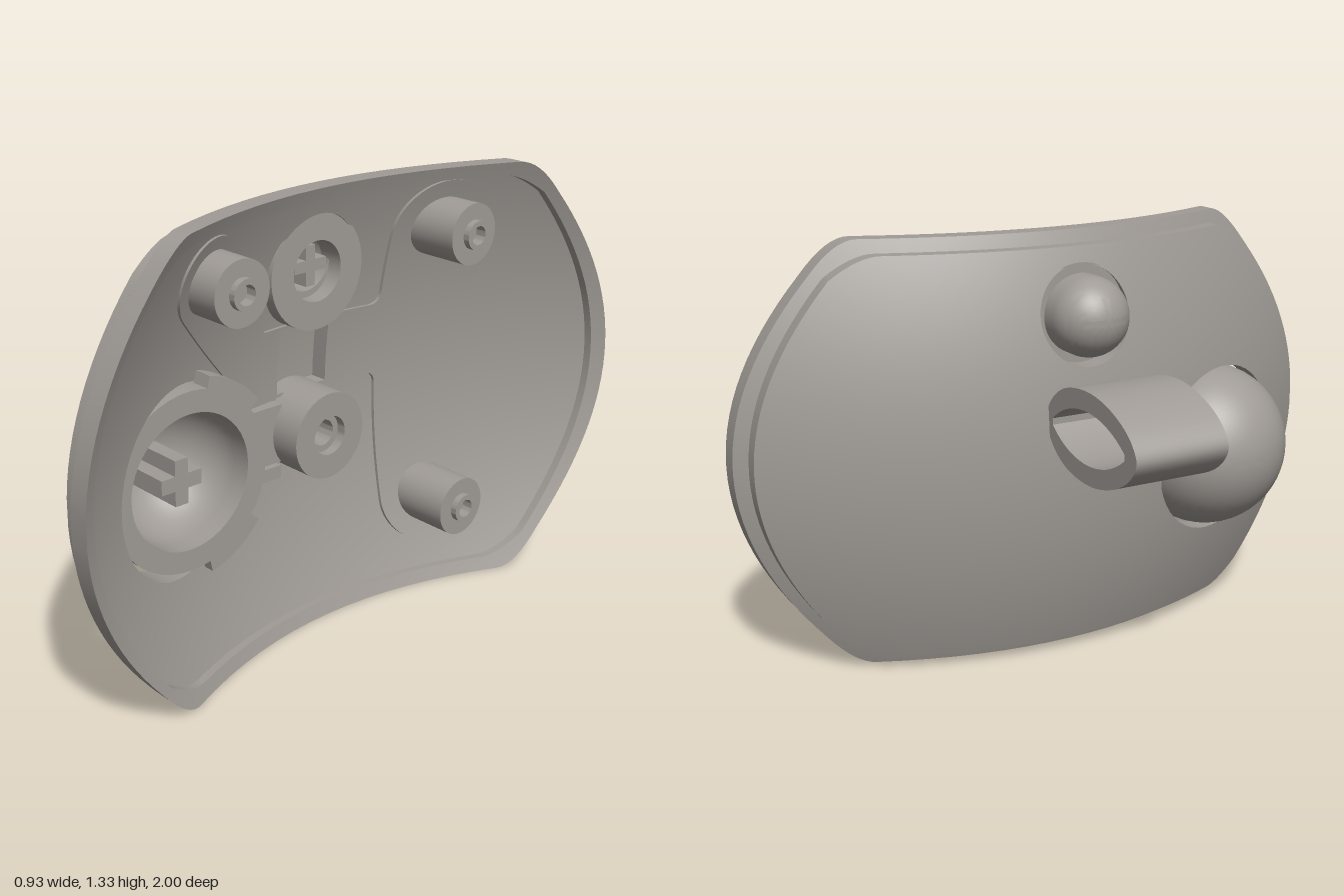
import * as THREE from 'three';
import { toCreasedNormals } from 'three/addons/utils/BufferGeometryUtils.js';

// Shapes are drawn in (u, v): u = -z, v = y. Depth runs along +x.
const MID = 0.665;
const curve = (u, v) => {
  const a = u * u, b = (v - MID) ** 2;
  return 0.02 + 0.332 * a + 0.277 * b + 0.1 * a * b;
};

// Rounded outline of the panel with bulging sides
function outline(inset) {
  const pts = [], h = MID - inset, side = (y) => 1 - 0.28 * (y / 0.6) ** 2 - inset;
  const corner = new THREE.QuadraticBezierCurve(
    new THREE.Vector2(side(0.56), 0.56), new THREE.Vector2(0.67 - inset, h), new THREE.Vector2(0.61 - inset, h));
  for (let i = 0; i < 14; i++) pts.push(new THREE.Vector2(side(i * 0.04), i * 0.04));
  pts.push(...corner.getPoints(8));
  const flip = (sx, sy, list) => list.map((p) => new THREE.Vector2(p.x * sx, p.y * sy + MID));
  const back = pts.slice().reverse();
  return [...flip(1, 1, pts), ...flip(-1, 1, back).slice(0, -1),
    ...flip(-1, -1, pts).slice(1), ...flip(1, -1, back).slice(0, -1)];
}

// Split long edges at their midpoints so a flat slab can follow the curve
function subdivide(geo, max) {
  const p = geo.attributes.position, out = [];
  const split = (t) => {
    const d = [0, 1, 2].map((i) => t[i].distanceTo(t[(i + 1) % 3]));
    const k = d.indexOf(Math.max(...d));
    if (d[k] <= max) { t.forEach((q) => out.push(q.x, q.y, q.z)); return; }
    const a = t[k], b = t[(k + 1) % 3], c = t[(k + 2) % 3];
    const m = a.clone().add(b).multiplyScalar(0.5);
    split([a, m, c]);
    split([m, b, c]);
  };
  for (let i = 0; i < p.count; i += 3) {
    split([0, 1, 2].map((j) => new THREE.Vector3().fromBufferAttribute(p, i + j)));
  }
  return new THREE.BufferGeometry().setAttribute('position', new THREE.Float32BufferAttribute(out, 3));
}

const circlePath = (u, v, r) => new THREE.Path().absarc(u, v, r, 0, Math.PI * 2, true);
const rectPoints = (u, v0, v1) => [[-u, v0], [u, v0], [u, v1], [-u, v1]].map((p) => new THREE.Vector2(...p));

export function createModel() {
  const root = new THREE.Group();
  root.name = 'curvedPanel';
  const grey = new THREE.MeshStandardMaterial({ color: 0xa09b96 });
  grey.name = 'warmGrey';

  const add = (name, geo) => {
    const m = new THREE.Mesh(geo, grey);
    m.name = name;
    root.add(m);
    return m;
  };

  // Slab that follows the panel curve, between two offsets from its outer face;
  // normals are sheared together with the surface
  const bent = (name, shape, d0, d1) => {
    const flat = new THREE.ExtrudeGeometry(shape, { depth: d1 - d0, bevelEnabled: false, curveSegments: 24 });
    const g = toCreasedNormals(subdivide(flat, 0.08), 0.5);
    const p = g.attributes.position, n = g.attributes.normal, e = 0.001;
    for (let i = 0; i < p.count; i++) {
      const u = p.getX(i), v = p.getY(i), nz = n.getZ(i);
      const du = (curve(u + e, v) - curve(u - e, v)) / (2 * e);
      const dv = (curve(u, v + e) - curve(u, v - e)) / (2 * e);
      p.setZ(i, p.getZ(i) + d0 + curve(u, v));
      n.setXYZ(i, n.getX(i) - nz * du, n.getY(i) - nz * dv, nz);
    }
    g.normalizeNormals();
    g.rotateY(Math.PI / 2);
    return add(name, g);
  };

  // Turned part about the x axis; profile pairs are [radius, x]
  const turned = (name, profile, u, v) => {
    const g = new THREE.LatheGeometry(profile.map(([r, x]) => new THREE.Vector2(r, -x)), 48);
    g.rotateZ(Math.PI / 2);
    const m = add(name, toCreasedNormals(g, 0.5));
    m.position.set(0, v, -u);
    return m;
  };

  const box = (name, x0, x1, u0, u1, v0, v1) => {
    const m = add(name, new THREE.BoxGeometry(x1 - x0, v1 - v0, u1 - u0));
    m.position.set((x0 + x1) / 2, (v0 + v1) / 2, -(u0 + u1) / 2);
  };

  // Panel with openings for both balls and a recessed channel between them
  const panel = new THREE.Shape(outline(0.04));
  panel.holes.push(circlePath(-0.52, 0.585, 0.274), circlePath(0, 1.09, 0.15),
    new THREE.Path(rectPoints(0.095, 0.7, 0.9)));
  bent('panel', panel, 0, 0.09);
  bent('channelFloor', new THREE.Shape(rectPoints(0.095, 0.7, 0.9)), 0, 0.045);

  // Stepped rim around the panel
  const rim = new THREE.Shape(outline(0));
  rim.holes.push(new THREE.Path(outline(0.04)));
  bent('rim', rim, 0.05, 0.115);

  // Raised mounting plate on the inside
  const plate = new THREE.Shape();
  plate.moveTo(0.28, 0.27);
  plate.absarc(0.435, 0.27, 0.155, Math.PI, Math.PI * 2, false);
  plate.absarc(0.435, 1.13, 0.155, 0, Math.PI, false);
  plate.lineTo(0.28, 0.95);
  plate.quadraticCurveTo(0.28, 0.91, 0.24, 0.91);
  plate.lineTo(-0.16, 0.91);
  plate.absarc(-0.44, 1.14, 0.13, 0.5, 3.82, false);
  plate.lineTo(-0.2, 0.69);
  plate.lineTo(0.24, 0.69);
  plate.quadraticCurveTo(0.28, 0.69, 0.28, 0.65);
  plate.holes.push(new THREE.Path(rectPoints(0.095, 0.7, 0.9)));
  bent('mountingPlate', plate, 0.08, 0.1);

  // Hollow balls with a cross-shaped peg inside
  const ball = (name, u, v, cx, R, r, end) => {
    const arc = (rad, from, to) => Array.from({ length: 17 }, (_, i) => {
      const a = from + (to - from) * i / 16;
      return [Math.max(0, rad * Math.sin(a)), cx - rad * Math.cos(a)];
    });
    turned(name, [...arc(r, 0, Math.PI / 2), [r, end], [R, end], ...arc(R, Math.PI / 2, 0)], u, v);
  };
  const cross = (name, u, v, arm, half, x0, x1) => {
    box(name, x0, x1, u - arm, u + arm, v - half, v + half);
    box(name, x0, x1, u - half, u + half, v - arm, v + arm);
  };
  ball('largeBall', -0.512, 0.588, 0.19, 0.265, 0.2, 0.25);
  cross('largeBallPeg', -0.53, 0.588, 0.068, 0.022, -0.03, 0.23);
  ball('smallBall', 0, 1.09, 0.06, 0.122, 0.09, 0.14);
  cross('smallBallPeg', 0, 1.08, 0.06, 0.017, -0.02, 0.16);

  // Collar behind the small ball
  turned('smallBallCollar', [[0.09, 0.11], [0.09, 0.19], [0.173, 0.19], [0.173, 0.11], [0.09, 0.11]], 0, 1.07);

  // Locking tabs on the large ball
  for (const s of [-1, 1]) {
    const a0 = s > 0 ? 0.65 : -1.34, a1 = s > 0 ? 1.34 : -0.65;
    const tab = new THREE.Shape();
    tab.absarc(0, 0, 0.3, a0, a1, false);
    tab.absarc(0, 0, 0.25, a1, a0, true);
    const g = new THREE.ExtrudeGeometry(tab, { depth: 0.06, bevelEnabled: false, curveSegments: 16 });
    g.rotateY(Math.PI / 2);
    add('lockingTab', toCreasedNormals(g, 0.5)).position.set(0.19, 0.588, 0.512);
  }

  // Screw posts with hollow pins
  for (const [u, v] of [[-0.44, 1.14], [0.435, 1.14], [0.435, 0.27]]) {
    turned('screwPost', [[0, 0.37], [0.028, 0.37], [0.028, 0.405], [0.044, 0.405], [0.044, 0.385],
      [0.092, 0.385], [0.092, curve(u, v) + 0.06]], u, v);
  }
  turned('centrePost', [[0, 0.16], [0.04, 0.16], [0.04, 0.22], [0.06, 0.22], [0.06, 0.25],
    [0.132, 0.25], [0.132, 0.05]], 0, 0.585);

  // Links between the centre post and the large ball
  box('linkBar', 0.07, 0.15, -0.27, -0.1, 0.5, 0.68);
  box('linkTab', 0.07, 0.17, -0.25, -0.12, 0.46, 0.5);

  // Lens-shaped loop handle
  const upper = [[0.05, 0.8], [0.02, 0.862], [-0.06, 0.917], [-0.2, 0.938], [-0.33, 0.913], [-0.43, 0.857], [-0.464, 0.8]];
  const lower = upper.slice(1, -1).reverse().map(([x, y]) => [x, 1.6 - y]);
  const loopCurve = new THREE.CatmullRomCurve3([...upper, ...lower].map(([x, y]) => new THREE.Vector3(x, y, 0)), true);
  const loop = new THREE.Shape(loopCurve.getPoints(64).slice(0, -1).map((p) => new THREE.Vector2(p.x, p.y)));
  const eye = new THREE.Path();
  eye.moveTo(-0.4, 0.79);
  eye.lineTo(-0.4, 0.81);
  eye.bezierCurveTo(-0.28, 0.902, -0.1, 0.902, 0.01, 0.81);
  eye.lineTo(0.01, 0.79);
  eye.bezierCurveTo(-0.1, 0.698, -0.28, 0.698, -0.4, 0.79);
  loop.holes.push(eye);
  const loopGeo = new THREE.ExtrudeGeometry(loop, { depth: 0.3, bevelEnabled: false, curveSegments: 24 });
  loopGeo.translate(0, 0, -0.15);
  add('loopHandle', toCreasedNormals(loopGeo, 0.5));

  return root;
}
